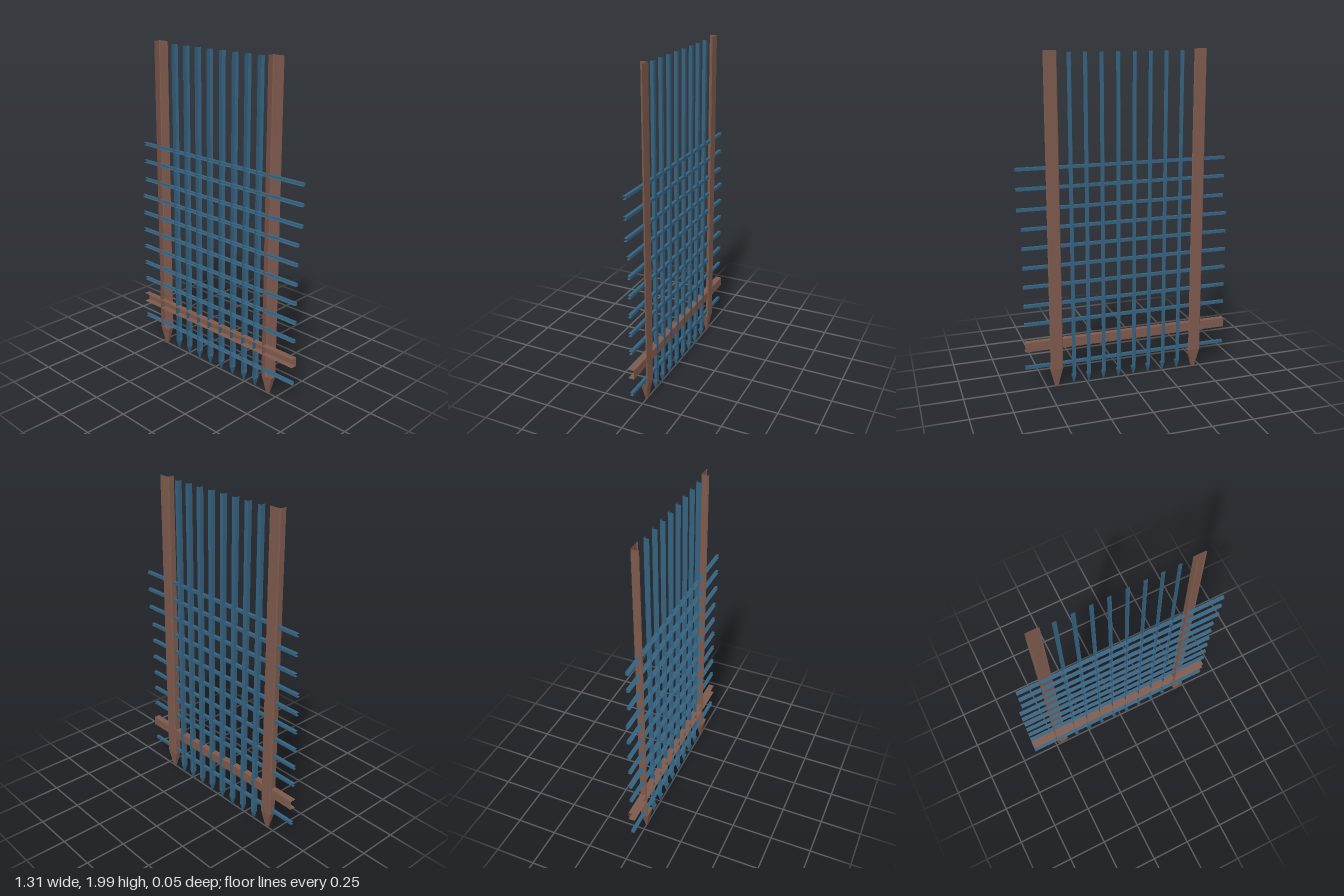
import * as THREE from 'three';

const wood = new THREE.MeshStandardMaterial({ color: 0x7d594c, flatShading: true, side: THREE.DoubleSide });
const iron = new THREE.MeshStandardMaterial({ color: 0x34617f, flatShading: true, side: THREE.DoubleSide });

// Skin a row of equal-length cross-sections with flat quads
function loft(sections) {
  const pos = [];
  for (let i = 0; i < sections.length - 1; i++) {
    for (let j = 0; j < sections[i].length - 1; j++) {
      const a = sections[i][j], b = sections[i][j + 1];
      const c = sections[i + 1][j + 1], d = sections[i + 1][j];
      pos.push(...a, ...b, ...c, ...a, ...c, ...d);
    }
  }
  const g = new THREE.BufferGeometry();
  g.setAttribute('position', new THREE.Float32BufferAttribute(pos, 3));
  g.computeVertexNormals();
  return g;
}

function addMesh(parent, name, geometry, material) {
  const mesh = new THREE.Mesh(geometry, material);
  mesh.name = name;
  parent.add(mesh);
}

// Upright: open angle-shaped shaft with a closed pointed foot
function addUpright(parent, name, material, { x, w, z0, z1, c, top, shoulder, tip, tipScale }) {
  const g = new THREE.Group();
  g.name = name;
  parent.add(g);
  const zc = (z0 + z1) / 2;
  const shaft = [[w, z0 + c], [w - c, z0], [-w + c, z0], [-w, z0 + c], [-w, z1 - c], [-w + c, z1]];
  const ring = [...shaft, [w - c, z1], [w, z1 - c], shaft[0]];
  const at = (outline, y, s) => outline.map(([px, pz]) => [x + px * s, y, zc + (pz - zc) * s]);
  addMesh(g, 'shaft', loft([at(shaft, shoulder, 1), at(shaft, top, 1)]), material);
  addMesh(g, 'point', loft([at(ring, tip, 0), at(ring, tip, tipScale), at(ring, shoulder, 1)]), material);
}

// Crossbar: channel open at the front and at both ends
function addCrossbar(parent, name, material, { y, h, x0, x1, z0, z1 }) {
  const outline = [[y + h, z1], [y + h, z0], [y - h, z0], [y - h, z1]];
  const at = (x) => outline.map(([py, pz]) => [x, py, pz]);
  addMesh(parent, name, loft([at(x1), at(x0)]), material);
}

export function createModel() {
  const model = new THREE.Group();
  model.name = 'gate';

  // Wooden side posts
  [['rightPost', -0.453], ['leftPost', 0.44]].forEach(([name, x]) => {
    addUpright(model, name, wood, {
      x, w: 0.039, z0: -0.023, z1: 0.023, c: 0.005, top: 2, shoulder: 0.125, tip: 0.006, tipScale: 0.25,
    });
  });

  // Vertical spiked bars
  [-0.34, -0.242, -0.146, -0.05, 0.048, 0.145, 0.24, 0.333].forEach((x, i) => {
    addUpright(model, 'verticalBar' + (i + 1), iron, {
      x, w: 0.012, z0: -0.0198, z1: 0.011, c: 0.001,
      top: 1.99, shoulder: 0.065, tip: 0.006, tipScale: 0.1,
    });
  });

  // Horizontal bars; the upper three are shifted sideways
  [0.151, 0.422, 0.537, 0.654, 0.77, 0.887, 1.002, 1.117, 1.237, 1.351].forEach((y, i) => {
    const shift = i > 6 ? 0.024 : 0;
    addCrossbar(model, 'horizontalBar' + (i + 1), iron, {
      y, h: 0.009, x0: -0.654 + shift, x1: 0.628 + shift, z0: -0.009, z1: 0.01,
    });
  });

  // Wooden lower beam
  addCrossbar(model, 'lowerBeam', wood, { y: 0.285, h: 0.028, x0: -0.654, x1: 0.628, z0: -0.0194, z1: 0.018 });

  return model;
}
